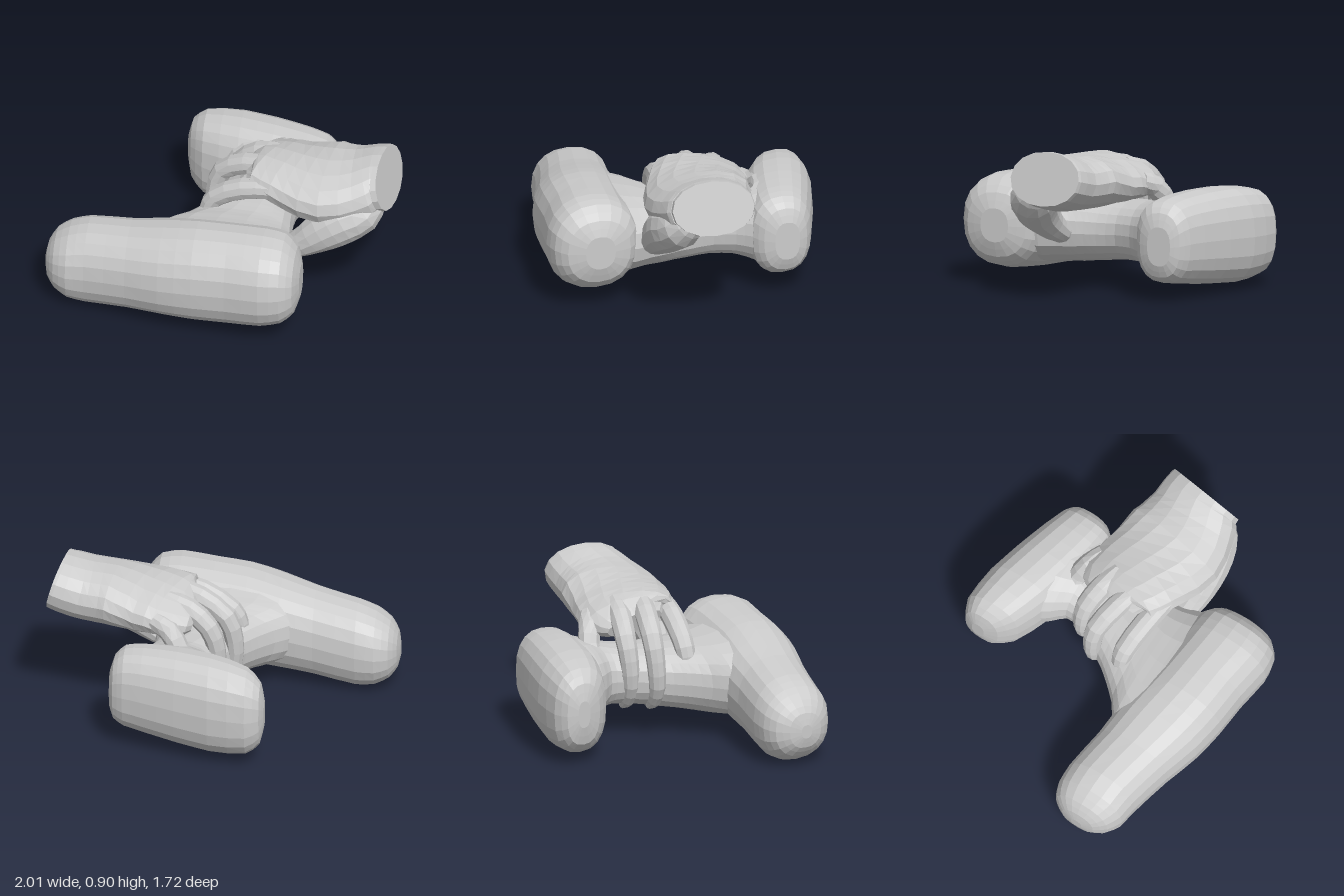
import * as THREE from 'three';

const material = new THREE.MeshStandardMaterial({ color: 0xcccccc, flatShading: true });

// Closed loft of superellipse rings. Section: [x, y, z, halfWidth, halfHeight, roll].
// side = direction of the width; axis = fixed ring normal (otherwise follows the path).
function loft(name, sections, { side, axis = null, power = 2, sides = 20, steps = 2 }) {
  const path = new THREE.CatmullRomCurve3(sections.map(s => new THREE.Vector3(s[0], s[1], s[2])));
  const size = new THREE.CatmullRomCurve3(sections.map(s => new THREE.Vector3(s[3], s[4], s[5] ?? 0)));
  const rings = (sections.length - 1) * steps;
  const pos = [], index = [];
  const bend = v => Math.sign(v) * Math.pow(Math.abs(v), 2 / power);
  for (let i = 0; i <= rings; i++) {
    const c = path.getPoint(i / rings), r = size.getPoint(i / rings);
    const t = axis ? axis.clone() : path.getTangent(i / rings);
    const s = side.clone().addScaledVector(t, -side.dot(t)).normalize().applyAxisAngle(t, r.z);
    const v = t.clone().cross(s);
    for (let j = 0; j < sides; j++) {
      const a = (j / sides) * Math.PI * 2;
      const p = c.clone().addScaledVector(s, r.x * bend(Math.cos(a))).addScaledVector(v, r.y * bend(Math.sin(a)));
      pos.push(p.x, p.y, p.z);
    }
  }
  const first = path.getPoint(0), last = path.getPoint(1);
  pos.push(first.x, first.y, first.z, last.x, last.y, last.z);
  const capA = (rings + 1) * sides, capB = capA + 1, top = rings * sides;
  for (let j = 0; j < sides; j++) {
    const k = (j + 1) % sides;
    for (let i = 0; i < rings; i++) {
      const a = i * sides, b = a + sides;
      index.push(a + j, a + k, b + k, a + j, b + k, b + j);
    }
    index.push(capA, k, j, capB, top + j, top + k);
  }
  const geometry = new THREE.BufferGeometry();
  geometry.setAttribute('position', new THREE.Float32BufferAttribute(pos, 3));
  geometry.setIndex(index);
  geometry.computeVertexNormals();
  const mesh = new THREE.Mesh(geometry, material);
  mesh.name = name;
  return mesh;
}

const X = new THREE.Vector3(1, 0, 0), Z = new THREE.Vector3(0, 0, 1);

// Section across x from ranges: [x, zMin, zMax, yMin, yMax]
const acrossX = ([x, z0, z1, y0, y1]) => [x, (y0 + y1) / 2, (z0 + z1) / 2, (z1 - z0) / 2, (y1 - y0) / 2];
// Section across z from ranges: [z, xMin, xMax, yMin, yMax]
const acrossZ = ([z, x0, x1, y0, y1]) => [(x0 + x1) / 2, (y0 + y1) / 2, z, (x1 - x0) / 2, (y1 - y0) / 2];

export function createModel() {
  const model = new THREE.Group();
  model.name = 'heldGrip';

  // Long front lobe
  model.add(loft('frontLobe', [
    [-1, 0.34, 0.41, 0.18, 0.26],
    [-0.985, 0.27, 0.48, 0.12, 0.33],
    [-0.94, 0.2, 0.55, 0.06, 0.4],
    [-0.86, 0.165, 0.6, 0.015, 0.455],
    [-0.75, 0.165, 0.62, 0, 0.495],
    [-0.5, 0.21, 0.69, 0.03, 0.535],
    [-0.3, 0.23, 0.76, 0.045, 0.58],
    [-0.1, 0.27, 0.8, 0.05, 0.62],
    [0.1, 0.3, 0.82, 0.06, 0.635],
    [0.3, 0.32, 0.855, 0.08, 0.645],
    [0.42, 0.34, 0.84, 0.11, 0.625],
    [0.49, 0.4, 0.78, 0.17, 0.55],
    [0.52, 0.5, 0.68, 0.26, 0.46],
  ].map(acrossX), { side: Z, axis: X, power: 2.3 }));

  // Short rear lobe
  model.add(loft('rearLobe', [
    [-0.325, -0.76, -0.68, 0.24, 0.4],
    [-0.3, -0.82, -0.6, 0.13, 0.5],
    [-0.22, -0.86, -0.51, 0.06, 0.57],
    [0, -0.84, -0.41, 0.04, 0.61],
    [0.2, -0.785, -0.36, 0.06, 0.615],
    [0.4, -0.72, -0.33, 0.09, 0.605],
    [0.51, -0.68, -0.33, 0.11, 0.585],
    [0.57, -0.64, -0.38, 0.15, 0.53],
    [0.595, -0.59, -0.44, 0.22, 0.45],
  ].map(acrossX), { side: Z, axis: X, power: 2.5 }));

  // Bridge joining the lobes, flaring into both
  model.add(loft('bridge', [
    [0.55, -0.42, 0.42, 0.1, 0.58],
    [0.45, -0.48, 0.46, 0.1, 0.585],
    [0.35, -0.47, 0.45, 0.1, 0.56],
    [0.25, -0.4, 0.42, 0.115, 0.54],
    [0.17, -0.29, 0.405, 0.125, 0.525],
    [0.08, -0.205, 0.395, 0.14, 0.52],
    [0, -0.14, 0.39, 0.15, 0.515],
    [-0.13, -0.06, 0.4, 0.17, 0.515],
    [-0.25, 0, 0.45, 0.175, 0.525],
    [-0.33, 0.01, 0.51, 0.16, 0.545],
    [-0.4, -0.05, 0.56, 0.13, 0.57],
    [-0.48, -0.1, 0.58, 0.1, 0.59],
    [-0.58, -0.1, 0.56, 0.09, 0.59],
  ].map(acrossZ), { side: X, axis: Z.clone().negate(), power: 2.4 }));

  const hand = new THREE.Group();
  hand.name = 'hand';
  model.add(hand);

  // Wrist and palm, with a flat cut at the wrist and rolled-down edges
  hand.add(loft('palm', [
    [0.955, 0.745, 0.04, 0.24, 0.16, 0],
    [0.9, 0.73, 0.032, 0.25, 0.165, 0],
    [0.78, 0.695, 0.04, 0.28, 0.165, -0.05],
    [0.62, 0.675, 0.035, 0.315, 0.165, -0.1],
    [0.45, 0.67, -0.01, 0.3, 0.15, 0],
    [0.32, 0.675, -0.06, 0.29, 0.13, 0.1],
    [0.22, 0.67, -0.1, 0.26, 0.11, 0.2],
    [0.14, 0.645, -0.1, 0.18, 0.06, 0.2],
  ], { side: Z, power: 2.1, sides: 16 }));

  // Thumb swelling out of the wrist and wrapping down the near side
  hand.add(loft('thumb', [
    [0.9, 0.67, 0.13, 0.08, 0.07],
    [0.82, 0.6, 0.19, 0.13, 0.125],
    [0.71, 0.55, 0.23, 0.13, 0.14],
    [0.6, 0.48, 0.25, 0.11, 0.125],
    [0.49, 0.395, 0.245, 0.09, 0.09],
    [0.39, 0.33, 0.22, 0.075, 0.065],
    [0.3, 0.3, 0.19, 0.035, 0.03],
  ], { side: Z, sides: 12 }));

  // Four fingers curling over the bridge: [name, knuckle x y z, bend x z]
  [
    ['indexFinger', 0.3, 0.69, 0.18, -0.09, 0.11],
    ['middleFinger', 0.28, 0.74, 0.02, -0.08, -0.09],
    ['ringFinger', 0.3, 0.73, -0.14, 0.01, -0.215],
    ['littleFinger', 0.36, 0.66, -0.28, 0.165, -0.365],
  ].forEach(([name, kx, ky, kz, bx, bz]) => {
    hand.add(loft(name, [
      [kx, ky, kz, 0.06, 0.06],
      [kx * 0.55 + bx * 0.45, ky - 0.035, kz * 0.45 + bz * 0.55, 0.066, 0.065],
      [bx + 0.045, ky - 0.13, bz, 0.062, 0.06],
      [bx, 0.47, bz, 0.055, 0.055],
      [bx, 0.32, bz + 0.01, 0.05, 0.05],
      [bx + 0.05, 0.22, bz + 0.02, 0.042, 0.042],
      [bx + 0.11, 0.17, bz + 0.02, 0.022, 0.022],
    ], { side: Z, sides: 10 }));
  });

  return model;
}
